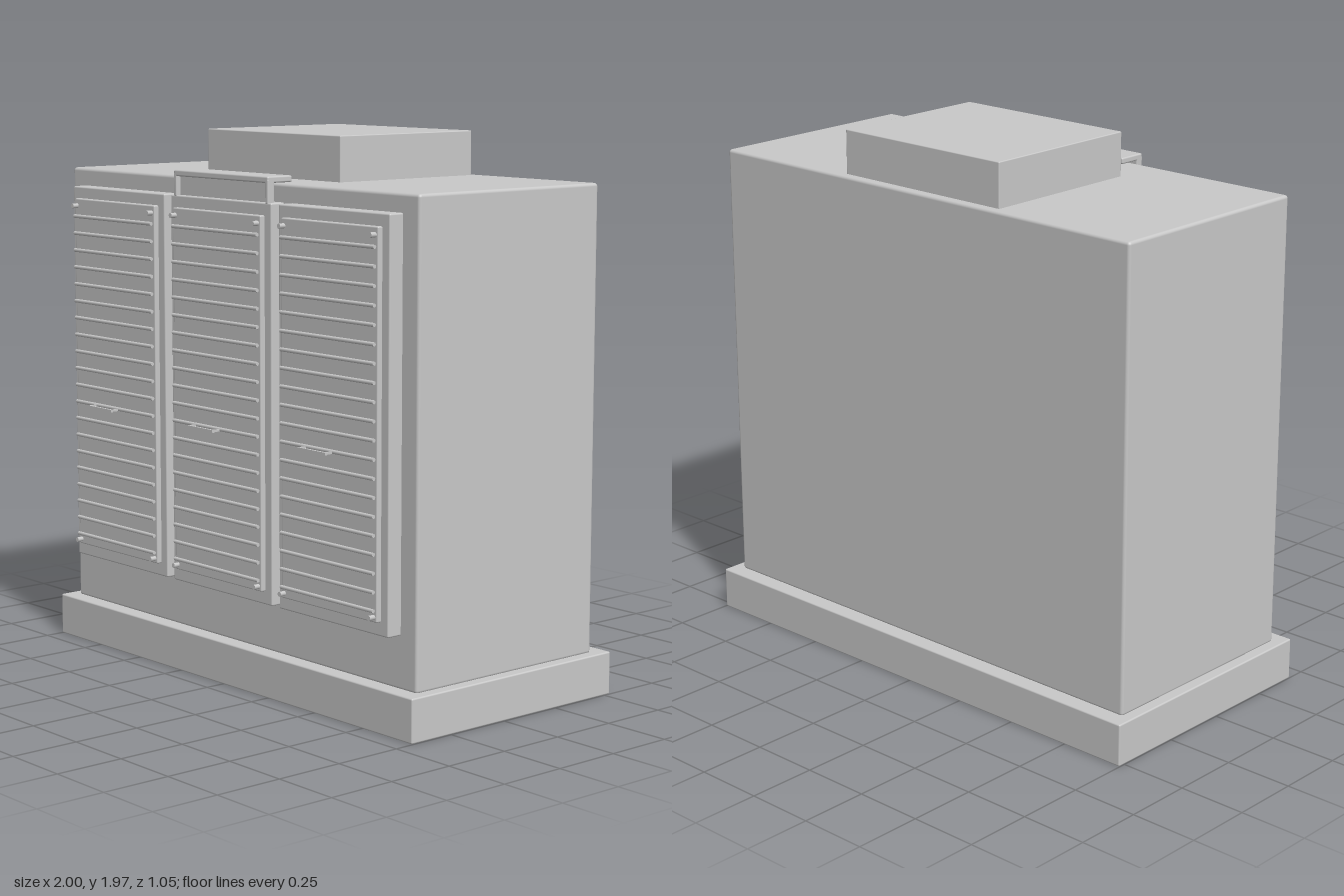
import * as THREE from 'three';
import { RoundedBoxGeometry } from 'three/addons/geometries/RoundedBoxGeometry.js';

const grey = new THREE.MeshStandardMaterial({ color: 0xc8c8c8 });
grey.name = 'light grey';

// Box given by its extents on each axis, with softly rounded edges when r > 0
function block(parent, name, [x0, x1], [y0, y1], [z0, z1], r = 0) {
  const size = [x1 - x0, y1 - y0, z1 - z0];
  const geo = r ? new RoundedBoxGeometry(...size, 2, r) : new THREE.BoxGeometry(...size);
  const mesh = new THREE.Mesh(geo, grey);
  mesh.name = name;
  mesh.position.set((x0 + x1) / 2, (y0 + y1) / 2, (z0 + z1) / 2);
  parent.add(mesh);
  return mesh;
}

// One louvred door, centred on x = 0
function makeDoor() {
  const door = new THREE.Group();
  block(door, 'doorFrame', [-0.281, 0.281], [0.337, 1.745], [0.36, 0.43], 0.006);
  block(door, 'louvrePanel', [-0.245, 0.245], [0.385, 1.702], [0.42, 0.449], 0.005);

  // Horizontal slats
  const slatGeo = new THREE.CylinderGeometry(0.007, 0.007, 0.475, 8).rotateZ(Math.PI / 2);
  for (let i = 0; i < 20; i++) {
    const slat = new THREE.Mesh(slatGeo, grey);
    slat.name = 'slat';
    slat.position.set(0, 0.426 + i * 0.0637, 0.457);
    door.add(slat);
  }

  // Corner screws
  const screwGeo = new THREE.CylinderGeometry(0.009, 0.009, 0.03, 10).rotateX(Math.PI / 2);
  for (const x of [-0.23, 0.23]) {
    for (const y of [0.403, 1.675]) {
      const screw = new THREE.Mesh(screwGeo, grey);
      screw.name = 'cornerScrew';
      screw.position.set(x, y, 0.457);
      door.add(screw);
    }
  }

  // Pull handle, standing clear of the slats
  const handle = new THREE.Group();
  handle.name = 'handle';
  block(handle, 'handleGrip', [-0.07, 0.07], [0.935, 0.945], [0.515, 0.525]);
  for (const s of [-1, 1]) {
    block(handle, 'handleLeg', [s * 0.067 - 0.003, s * 0.067 + 0.003], [0.937, 0.945], [0.493, 0.516]);
  }
  door.add(handle);
  return door;
}

export function createModel() {
  const model = new THREE.Group();
  model.name = 'cabinet';

  // Plinth, main housing and roof box
  block(model, 'plinth', [-1, 1], [0, 0.155], [-0.527, 0.43], 0.006);
  block(model, 'housing', [-0.96, 0.96], [0.15, 1.81], [-0.468, 0.373], 0.012);
  block(model, 'roofBox', [-0.367, 0.365], [1.8, 1.97], [-0.438, 0.19], 0.004);

  // Three doors side by side
  for (const [i, name] of ['rightDoor', 'middleDoor', 'leftDoor'].entries()) {
    const door = makeDoor();
    door.name = name;
    door.position.x = (i - 1) * 0.6;
    model.add(door);
  }

  // Hooked hood over the middle door
  const hood = new THREE.Group();
  hood.name = 'hood';
  block(hood, 'hoodTop', [-0.263, 0.263], [1.812, 1.835], [0.32, 0.43], 0.006);
  block(hood, 'hoodBack', [-0.25, 0.25], [1.7, 1.815], [0.4, 0.412]);
  for (const s of [-1, 1]) {
    block(hood, 'hoodSide', [s * 0.255 - 0.008, s * 0.255 + 0.008], [1.74, 1.825], [0.4, 0.43], 0.004);
  }
  model.add(hood);
  return model;
}
